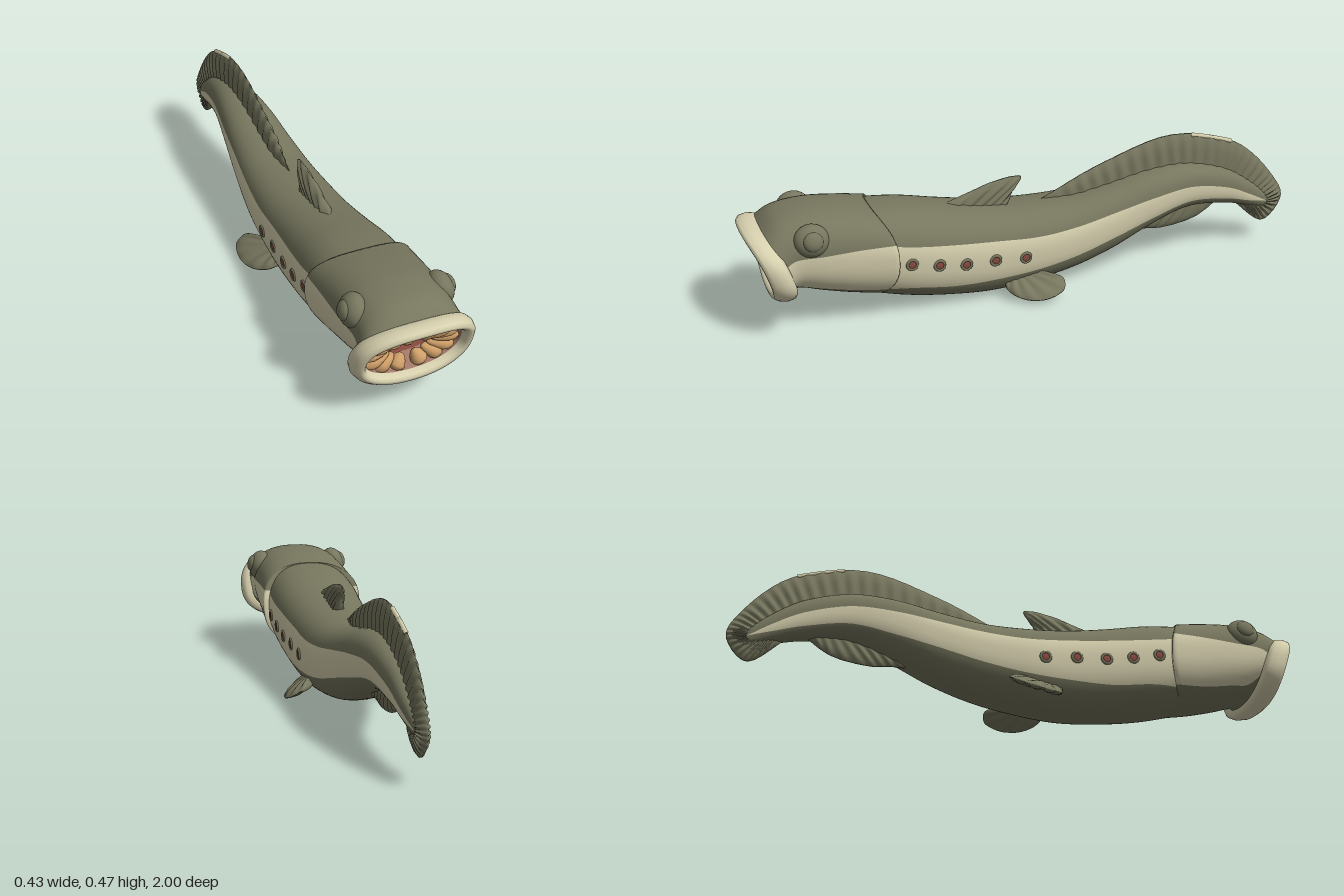
import * as THREE from 'three';

const mat = (name, color) => Object.assign(new THREE.MeshStandardMaterial({ color }), { name });
const olive = mat('olive skin', 0x77775f);
const cream = mat('cream skin', 0xd6d0ae);
const gum = mat('pink gum', 0xa37a6b);
const throat = mat('dark red throat', 0x87493e);
const tan = mat('tan tooth', 0xcf9f68);

const V = (x, y, z) => new THREE.Vector3(x, y, z);
const spow = (v, p) => Math.sign(v) * Math.abs(v) ** p;

// Skins closed rings of points; pick(i, j) chooses the material of each strip.
function loft(name, rings, mats, pick = () => 0) {
  const n = rings[0].length;
  const buckets = mats.map(() => []);
  for (let i = 0; i < rings.length - 1; i++) {
    for (let j = 0; j < n; j++) {
      const a = i * n + j, b = i * n + (j + 1) % n, c = a + n, d = b + n;
      buckets[pick(i, j)].push(a, c, b, b, c, d);
    }
  }
  const g = new THREE.BufferGeometry().setFromPoints(rings.flat());
  g.setIndex(buckets.flat());
  let start = 0;
  buckets.forEach((b, k) => { g.addGroup(start, b.length, k); start += b.length; });
  g.computeVertexNormals();
  const mesh = new THREE.Mesh(g, mats);
  mesh.name = name;
  return mesh;
}

// Smooth interpolation through table rows, t from 0 to 1.
function sampleRows(rows, t) {
  const f = t * (rows.length - 1), i = Math.min(Math.floor(f), rows.length - 2), u = f - i;
  const at = k => rows[Math.max(0, Math.min(rows.length - 1, k))];
  return rows[0].map((_, c) => {
    const [p, q, r, s] = [at(i - 1)[c], at(i)[c], at(i + 1)[c], at(i + 2)[c]];
    return q + 0.5 * u * (r - p + u * (2 * p - 5 * q + 4 * r - s + u * (3 * (q - r) + s - p)));
  });
}

// Body cross-section: row = z, top, bottom, half width, band top, band bottom.
const BAND = 8, ARC = 22, POWER = 2 / 2.4;
function section([z, top, bot, rx, bt, bb], shift = () => 0) {
  const yc = (top + bot) / 2, ry = (top - bot) / 2;
  const angle = y => Math.asin(spow(Math.max(-0.97, Math.min(0.97, (y - yc) / ry)), 1 / POWER));
  const lo = angle(bb), hi = angle(Math.max(bt, bb));
  const spans = [[lo, hi, BAND], [hi, Math.PI - hi, ARC], [Math.PI - hi, Math.PI - lo, BAND], [Math.PI - lo, 2 * Math.PI + lo, ARC]];
  const pts = [];
  for (const [from, to, n] of spans) {
    for (let k = 0; k < n; k++) {
      const a = from + (to - from) * k / n;
      const s = spow(Math.sin(a), POWER), y = yc + ry * s;
      pts.push(V(rx * (1 + 0.06 * s) * spow(Math.cos(a), POWER), y, z + shift(y, a)));
    }
  }
  return pts;
}
const bandPick = (i, j) => (j < BAND || (j >= BAND + ARC && j < 2 * BAND + ARC) ? 1 : 0);

const bodyRows = [
  [0.75, 0.395, 0.125, 0.15, 0.29, 0.15], [0.6, 0.385, 0.08, 0.16, 0.295, 0.12],
  [0.45, 0.37, 0.04, 0.166, 0.27, 0.11], [0.3, 0.34, 0.015, 0.16, 0.25, 0.09],
  [0.15, 0.315, 0.003, 0.152, 0.235, 0.09], [0, 0.303, 0.015, 0.145, 0.225, 0.1],
  [-0.15, 0.305, 0.04, 0.133, 0.235, 0.125], [-0.3, 0.33, 0.085, 0.116, 0.26, 0.165],
  [-0.45, 0.36, 0.15, 0.098, 0.285, 0.205], [-0.6, 0.365, 0.195, 0.076, 0.295, 0.235],
  [-0.75, 0.325, 0.185, 0.055, 0.262, 0.215], [-0.85, 0.265, 0.16, 0.04, 0.215, 0.188],
  [-0.93, 0.2, 0.14, 0.02, 0.17, 0.168], [-0.96, 0.165, 0.155, 0.001, 0.16, 0.16],
];
const headRows = [
  [0.89, 0.355, 0.135, 0.178, 0.24, 0.235], [0.84, 0.398, 0.138, 0.166, 0.285, 0.17],
  [0.76, 0.412, 0.115, 0.172, 0.29, 0.15], [0.66, 0.402, 0.09, 0.178, 0.295, 0.13],
  [0.57, 0.384, 0.074, 0.186, 0.295, 0.12],
];

function makeHead() {
  const rings = [], n = 28;
  for (let i = 0; i <= n; i++) {
    const t = i / n, row = sampleRows(headRows, t);
    // front follows the slanted mouth, rear bows out as a gill cover
    rings.push(section(row, (y, a) => 0.4 * (1 - t) ** 2 * (y - 0.235) - 0.06 * t * t * Math.cos(a) ** 2));
  }
  const rim = rings[n];
  rings.push(rim.map(p => V(p.x * 0.97, p.y, p.z - 0.006)), rim.map(p => V(p.x * 0.82, 0.23 + (p.y - 0.23) * 0.95, p.z)));
  return loft('head', rings, [olive, cream], bandPick);
}

// Mouth: rings of half width, half height, depth, from throat out over the lip.
function makeMouth() {
  const profile = [
    [0.001, 0.001, -0.17], [0.08, 0.045, -0.165], [0.125, 0.068, -0.14], [0.138, 0.074, -0.1],
    [0.148, 0.08, -0.06], [0.16, 0.088, -0.025], [0.168, 0.095, -0.003], [0.176, 0.104, 0.006],
    [0.187, 0.115, 0.007], [0.198, 0.125, -0.004], [0.204, 0.13, -0.03], [0.199, 0.126, -0.055],
    [0.185, 0.115, -0.07], [0.165, 0.1, -0.075],
  ];
  const rings = profile.map(([rx, ry, dz]) => Array.from({ length: 64 }, (_, j) => {
    const a = j / 64 * Math.PI * 2;
    const x = rx * spow(Math.cos(a), POWER), y = ry * spow(Math.sin(a), POWER);
    return V(x, 0.24 + y, 0.95 + 0.33 * y - 0.6 * x * x + dz);
  }));
  return loft('mouth and lip', rings, [throat, gum, cream], i => (i < 3 ? 0 : i < 5 ? 1 : 2));
}

function makeTeeth() {
  const group = new THREE.Group();
  group.name = 'teeth';
  const outline = [[0.012, -0.35], [0.024, -0.1], [0.026, 0.15], [0.021, 0.5], [0.013, 0.82], [0.006, 0.96], [0, 1]];
  const geo = new THREE.LatheGeometry(outline.map(p => new THREE.Vector2(...p)), 16);
  for (let k = 0; k < 14; k++) {
    const a = (k + 0.5) / 14 * Math.PI * 2 + Math.PI / 14;
    const x = 0.138 * spow(Math.cos(a), POWER), y = 0.076 * spow(Math.sin(a), POWER);
    const tooth = new THREE.Mesh(geo, tan);
    tooth.name = 'tooth';
    tooth.position.set(x, 0.24 + y, 0.9 + 0.33 * y - 0.6 * x * x);
    const r = Math.hypot(x, y), w = 0.78 + 0.3 * Math.abs(Math.sin(a));
    tooth.scale.set(w, r * 0.5, w);
    tooth.quaternion.setFromUnitVectors(V(0, 1, 0), V(-x / r, -y / r, -0.1).normalize());
    group.add(tooth);
  }
  return group;
}

// Ribbed fin between a base line and an outer edge, both given as [z, y].
function makeFin(name, base, edge, thick, ribs) {
  const curve = pts => new THREE.CatmullRomCurve3(pts.map(([z, y]) => V(0, y, z)), false, 'centripetal');
  const b = curve(base), e = curve(edge), n = ribs * 6, m = 7, rings = [];
  for (let i = 0; i <= n; i++) {
    const u = i / n, p = b.getPoint(u), q = e.getPoint(u), ring = [];
    const ends = Math.min(1, 12 * Math.min(u, 1 - u) + 0.02);
    for (let k = 0; k < 2 * m; k++) {
      const side = k < m ? 1 : -1, v = (k < m ? k : 2 * m - 1 - k) / (m - 1);
      const rib = 1 + 0.25 * Math.sin(Math.PI * 2 * ribs * u) * Math.min(1, v * 2);
      const pt = p.clone().lerp(q, v);
      pt.x = side * thick * ends * rib * Math.sqrt(1.03 - v ** 3);
      ring.push(pt);
    }
    rings.push(ring);
  }
  return loft(name, rings, [olive]);
}

export function createModel() {
  const model = new THREE.Group();
  model.name = 'eel-like fish';

  const bodyRings = Array.from({ length: 81 }, (_, i) => section(sampleRows(bodyRows, i / 80)));
  model.add(loft('body', bodyRings, [olive, cream], bandPick), makeHead(), makeMouth(), makeTeeth());

  // Fins along the middle
  model.add(makeFin('front dorsal fin',
    [[0.33, 0.3], [0.2, 0.29], [0.08, 0.28]],
    [[0.33, 0.325], [0.24, 0.353], [0.13, 0.388], [0.05, 0.4], [0.02, 0.395], [0.05, 0.35], [0.08, 0.29]], 0.019, 7));
  model.add(makeFin('rear dorsal and tail fin',
    [[-0.05, 0.27], [-0.3, 0.3], [-0.55, 0.33], [-0.75, 0.28], [-0.87, 0.21], [-0.92, 0.165], [-0.87, 0.175], [-0.8, 0.2]],
    [[-0.05, 0.3], [-0.29, 0.405], [-0.55, 0.472], [-0.8, 0.41], [-0.95, 0.27], [-1, 0.17], [-0.93, 0.085], [-0.8, 0.18]], 0.018, 36));
  model.add(makeFin('anal fin',
    [[-0.74, 0.21], [-0.6, 0.22], [-0.37, 0.15]],
    [[-0.74, 0.195], [-0.65, 0.14], [-0.52, 0.118], [-0.44, 0.125], [-0.36, 0.125]], 0.014, 10));

  // Thin pale streak on the crest of the rear fin
  const crest = new THREE.CatmullRomCurve3([V(0, 0.463, -0.62), V(0, 0.443, -0.7), V(0, 0.418, -0.78)]);
  const streak = new THREE.Mesh(new THREE.TubeGeometry(crest, 12, 0.008, 8), cream);
  streak.name = 'crest streak';
  model.add(streak);

  for (const s of [1, -1]) {
    const label = s > 0 ? 'left' : 'right';
    const fin = makeFin(label + ' pectoral fin',
      [[0, 0], [0.05, 0], [0.1, 0]],
      [[-0.01, -0.01], [-0.08, -0.07], [-0.065, -0.115], [0.01, -0.128], [0.08, -0.095], [0.115, -0.04], [0.11, -0.005]], 0.014, 7);
    fin.position.set(s * 0.1, 0.085, 0.01);
    fin.rotation.set(0.2, 0, s * 1.05);
    model.add(fin);

    // Eye: flattened dome with a raised pupil
    const eye = new THREE.Group();
    eye.name = label + ' eye';
    const dome = new THREE.Mesh(new THREE.SphereGeometry(1, 32, 20), olive);
    dome.name = 'eye dome';
    dome.scale.set(0.042, 0.055, 0.058);
    const pupil = new THREE.Mesh(new THREE.SphereGeometry(1, 24, 16), olive);
    pupil.name = 'pupil';
    pupil.scale.set(0.02, 0.033, 0.033);
    pupil.position.x = s * 0.03;
    eye.add(dome, pupil);
    eye.position.set(s * 0.146, 0.342, 0.785);
    eye.rotation.z = s * 0.25;
    model.add(eye);

    // Row of gill openings
    for (const [z, y] of [[0.46, 0.21], [0.365, 0.19], [0.27, 0.175], [0.165, 0.17], [0.055, 0.16]]) {
      const row = sampleRows(bodyRows, (0.75 - z) / 0.15 / (bodyRows.length - 1));
      const x = Math.max(...section(row).filter(p => Math.abs(p.y - y) < 0.03).map(p => p.x));
      const gill = new THREE.Group();
      gill.name = label + ' gill opening';
      const rim = new THREE.Mesh(new THREE.TorusGeometry(0.017, 0.005, 8, 20), olive);
      rim.name = 'gill rim';
      const hole = new THREE.Mesh(new THREE.SphereGeometry(0.016, 16, 10), throat);
      hole.name = 'gill hole';
      hole.scale.z = 0.25;
      gill.add(rim, hole);
      gill.position.set(s * x, y, z);
      gill.rotation.y = s * Math.PI / 2;
      model.add(gill);
    }
  }
  return model;
}
